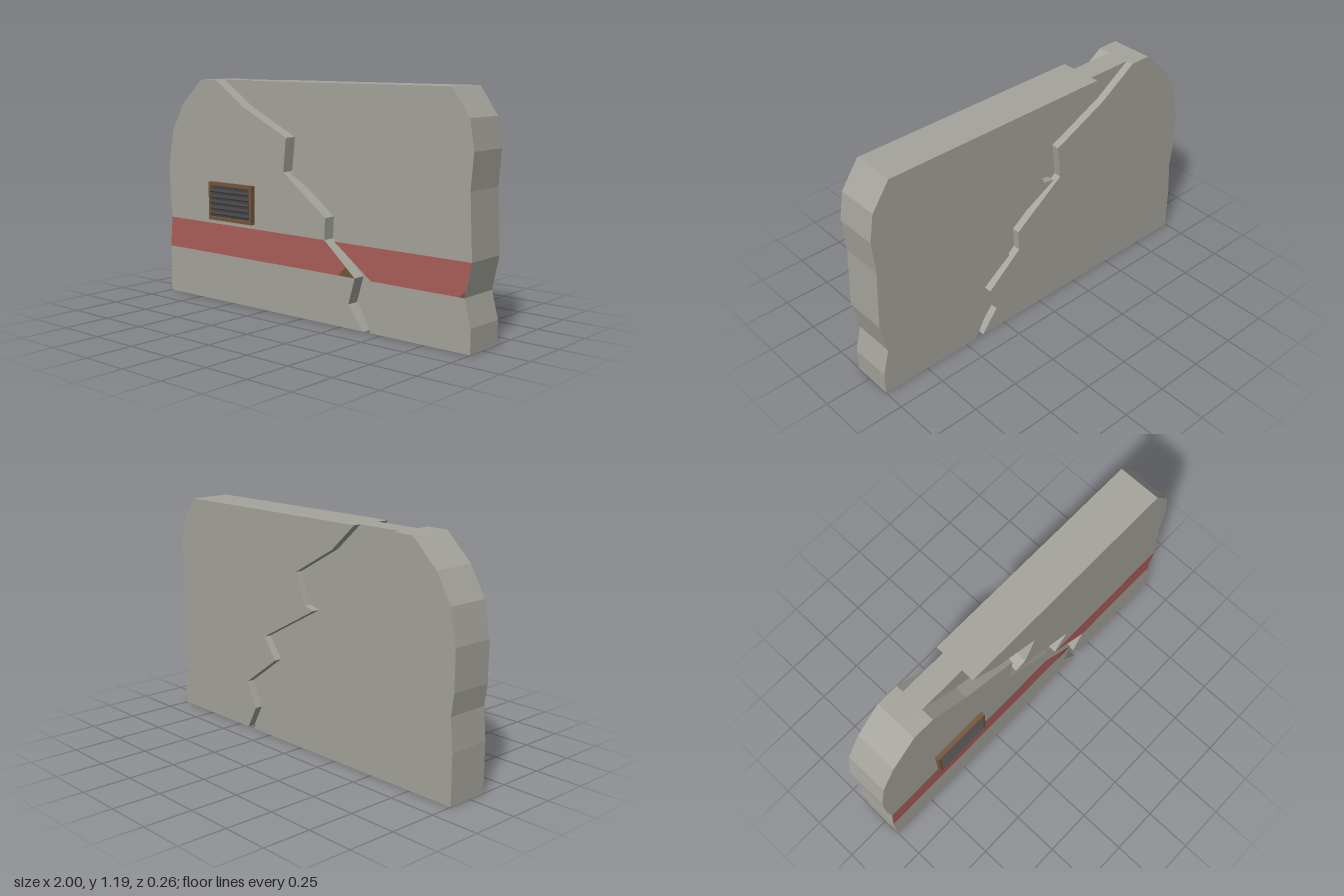
import * as THREE from 'three';

const mat = (name, color) => Object.assign(new THREE.MeshStandardMaterial({ color }), { name });

// Wall silhouette, listed from bottom to top
const leftEdge = [[-1, 0], [-1, 0.255], [-0.985, 0.42], [-1, 0.53], [-1, 0.735], [-0.965, 0.91], [-0.88, 1.055], [-0.735, 1.19]];
const rightEdge = [[1, 0], [1, 0.12], [0.965, 0.255], [1, 0.42], [0.995, 0.53], [0.985, 0.735], [1, 0.91], [0.975, 1.055], [0.88, 1.19]];

// Both lips of the crack, bottom to top
const crackLeft = [[0.39, 0], [0.295, 0.12], [0.335, 0.255], [0.14, 0.42], [0.145, 0.53], [-0.135, 0.735], [-0.115, 0.91], [-0.42, 1.055], [-0.62, 1.19]];
const crackRight = [[0.435, 0], [0.37, 0.12], [0.435, 0.255], [0.205, 0.42], [0.29, 0.53], [-0.09, 0.735], [-0.025, 0.75], [0.04, 0.91], [-0.22, 1.055], [-0.37, 1.19]];

const BACK = -0.13, FRONT = 0.097, GROOVE_BACK = -0.09, GROOVE_FRONT = 0.03;

const shapeOf = points => new THREE.Shape(points.map(p => new THREE.Vector2(...p)));
// Area between a left and a right edge
const between = (left, right) => shapeOf([...right, ...[...left].reverse()]);

export function createModel() {
  const concrete = mat('concrete grey', 0xa5a49c);
  const red = mat('faded red paint', 0xaa5e59);
  const brown = mat('rust brown', 0x74553a);
  const dark = mat('dark metal', 0x424242);
  const model = new THREE.Group();
  model.name = 'crackedWall';

  const add = (name, geometry, material, parent = model) => {
    const mesh = new THREE.Mesh(geometry, material);
    mesh.name = name;
    parent.add(mesh);
    return mesh;
  };
  const slab = (name, shape, z0, z1, material, parent) => {
    const g = new THREE.ExtrudeGeometry(shape, { depth: z1 - z0, bevelEnabled: false });
    return add(name, g.translate(0, 0, z0), material, parent);
  };
  const decal = (name, points, z, material) =>
    add(name, new THREE.ShapeGeometry(shapeOf(points)).translate(0, 0, z), material);

  // Solid core, with a split layer on each face that leaves the crack open
  slab('wallCore', between(leftEdge, rightEdge), GROOVE_BACK, GROOVE_FRONT, concrete);
  for (const [side, z0, z1] of [['front', GROOVE_FRONT, FRONT], ['back', BACK, GROOVE_BACK]]) {
    slab(side + 'LayerLeftOfCrack', between(leftEdge, crackLeft), z0, z1, concrete);
    slab(side + 'LayerRightOfCrack', between(crackRight, rightEdge), z0, z1, concrete);
  }

  // Painted band, broken by the crack
  decal('stripeLeft', [[-1, 0.255], [0.335, 0.255], [0.14, 0.42], [-0.985, 0.42]], FRONT + 0.001, red);
  decal('stripeRight', [[0.435, 0.255], [0.965, 0.255], [1, 0.42], [0.205, 0.42]], FRONT + 0.001, red);

  // Chipped corners of the band
  decal('chipAtCrack', [[0.23, 0.255], [0.335, 0.255], [0.278, 0.303]], FRONT + 0.002, brown);
  decal('chipAtEdge', [[0.935, 0.255], [0.965, 0.255], [0.971, 0.285]], FRONT + 0.002, brown);

  // Vent: frame, backing plate and tilted slats
  const vent = new THREE.Group();
  vent.name = 'vent';
  model.add(vent);
  const rect = (x0, y0, x1, y1) => [[x0, y0], [x1, y0], [x1, y1], [x0, y1]];
  const frame = shapeOf(rect(-0.66, 0.443, -0.34, 0.647));
  frame.holes.push(shapeOf(rect(-0.645, 0.46, -0.357, 0.63)));
  slab('ventFrame', frame, FRONT, 0.122, brown, vent);
  slab('ventBacking', shapeOf(rect(-0.647, 0.458, -0.355, 0.632)), FRONT, 0.104, dark, vent);
  for (let i = 0; i < 5; i++) {
    const slat = add('ventSlat', new THREE.BoxGeometry(0.284, 0.007, 0.026), dark, vent);
    slat.position.set(-0.501, 0.482 + i * 0.03, 0.117);
    slat.rotation.x = 0.4;
  }
  return model;
}
